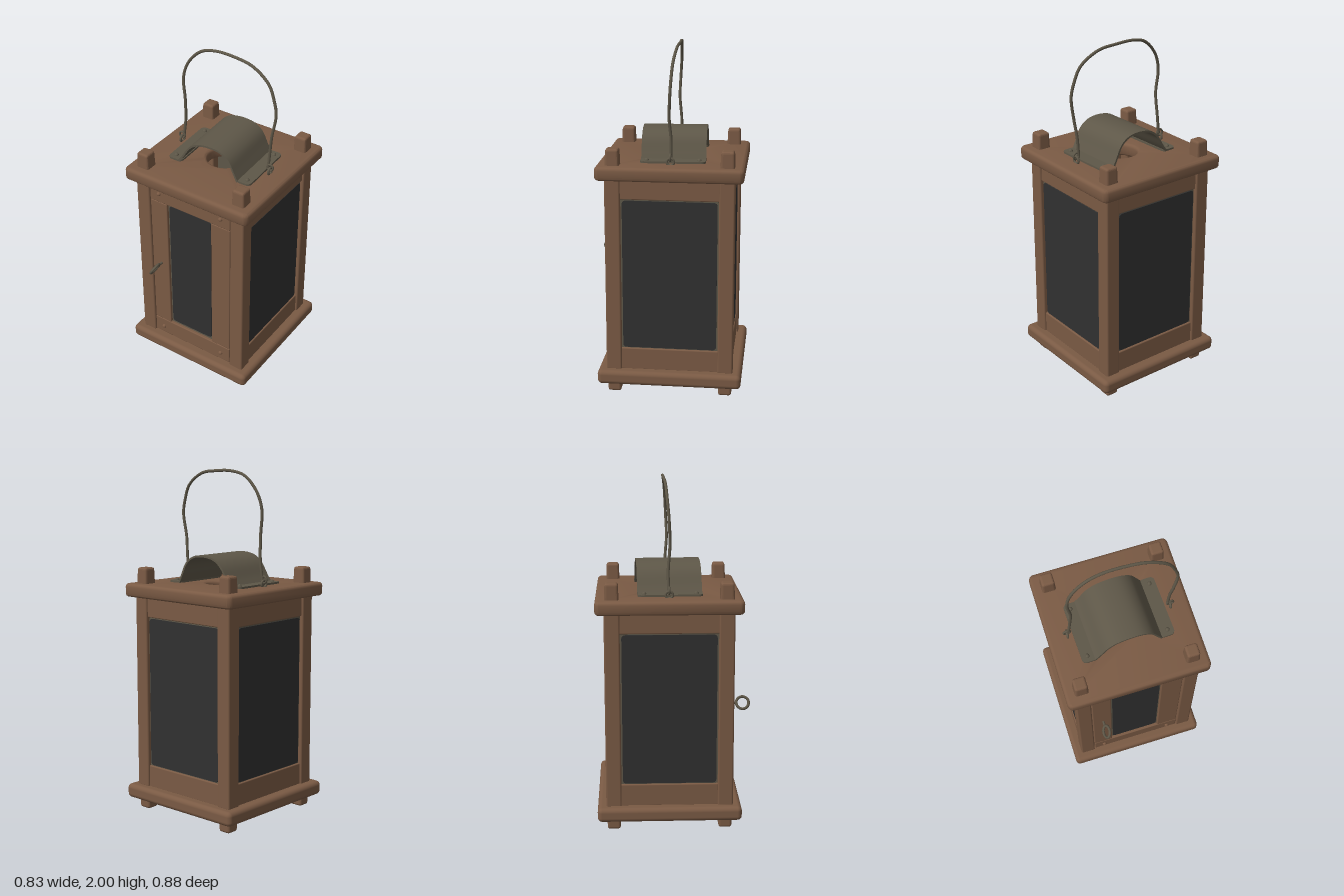
import * as THREE from 'three';
import { toCreasedNormals } from 'three/addons/utils/BufferGeometryUtils.js';
import { RoundedBoxGeometry } from 'three/addons/geometries/RoundedBoxGeometry.js';

const wood = new THREE.MeshStandardMaterial({ name: 'brown wood', color: 0x7a5a44 });
const metal = new THREE.MeshStandardMaterial({ name: 'grey metal', color: 0x5e5748 });
const glass = new THREE.MeshStandardMaterial({ name: 'dark glass', color: 0x303030 });

function add(parent, name, geometry, material, x = 0, y = 0, z = 0) {
  const mesh = new THREE.Mesh(geometry, material);
  mesh.name = name;
  mesh.position.set(x, y, z);
  parent.add(mesh);
  return mesh;
}

const box = (w, h, d, r = 0.006) => new RoundedBoxGeometry(w, h, d, 2, r);

// Rounded rectangle outline centred on the origin
function roundedRect(w, h, r) {
  const s = new THREE.Shape();
  const a = w / 2, b = h / 2;
  s.absarc(a - r, b - r, r, 0, Math.PI / 2);
  s.absarc(-a + r, b - r, r, Math.PI / 2, Math.PI);
  s.absarc(-a + r, -b + r, r, Math.PI, Math.PI * 1.5);
  s.absarc(a - r, -b + r, r, Math.PI * 1.5, Math.PI * 2);
  s.closePath();
  return s;
}

const extrude = (shape, depth) =>
  new THREE.ExtrudeGeometry(shape, { depth, bevelEnabled: false, curveSegments: 6 });

// Glazed wall facing +z: two rails, a thin metal backing and the pane
function panel(parent, name, angle) {
  const g = new THREE.Group();
  g.name = name;
  g.rotation.y = angle;
  add(g, 'topRail', box(0.56, 0.12, 0.03), wood, 0, 1.217, 0.338);
  add(g, 'bottomRail', box(0.56, 0.13, 0.03), wood, 0, 0.208, 0.338);
  add(g, 'paneFrame', new THREE.BoxGeometry(0.56, 0.9, 0.012), metal, 0, 0.715, 0.335);
  add(g, 'pane', extrude(roundedRect(0.535, 0.872, 0.02), 0.006), glass, 0, 0.714, 0.341);
  parent.add(g);
}

// Rivet dome, pointing up +y
const rivet = () => new THREE.SphereGeometry(0.013, 12, 6, 0, Math.PI * 2, 0, Math.PI / 2);

function buildDoor(parent) {
  const door = new THREE.Group();
  door.name = 'door';
  add(door, 'topRail', box(0.545, 0.11, 0.035), wood, 0, 1.213, 0.341);
  add(door, 'bottomRail', box(0.545, 0.108, 0.035), wood, 0, 0.208, 0.341);
  add(door, 'rightStile', box(0.115, 0.896, 0.033), wood, -0.215, 0.71, 0.341);
  add(door, 'leftStile', box(0.128, 0.896, 0.033), wood, 0.2085, 0.71, 0.341);
  add(door, 'paneFrame', new THREE.BoxGeometry(0.33, 0.9, 0.012), metal, -0.005, 0.71, 0.335);
  add(door, 'pane', extrude(roundedRect(0.285, 0.87, 0.02), 0.006), glass, -0.005, 0.714, 0.341);
  for (const x of [-0.21, 0.21])
    for (const y of [0.205, 1.215])
      add(door, 'doorRivet', rivet(), metal === null ? metal : wood, x, y, 0.358).rotation.x = Math.PI / 2;
  // Pull ring on a short pin
  add(door, 'ringPin', new THREE.CylinderGeometry(0.007, 0.007, 0.04, 8), metal, -0.21, 0.712, 0.37)
    .rotation.x = Math.PI / 2;
  const ring = add(door, 'pullRing', new THREE.TorusGeometry(0.036, 0.008, 8, 24), metal, -0.21, 0.712, 0.425);
  ring.rotation.set(0, Math.PI / 2, -0.5, 'ZYX');
  parent.add(door);
}

function buildHood(parent) {
  const hood = new THREE.Group();
  hood.name = 'hood';
  hood.rotation.y = 0.035;
  hood.position.y = 1.35;
  // Bent sheet: the arch outline and the same curve set inwards
  const curve = new THREE.CatmullRomCurve3([
    [-0.205, 0.004], [-0.175, 0.045], [-0.13, 0.115], [-0.08, 0.153], [0, 0.169],
    [0.08, 0.16], [0.135, 0.122], [0.17, 0.055], [0.195, 0.004],
  ].map(([x, y]) => new THREE.Vector3(x, y, 0)));
  const outer = [], inner = [];
  for (let i = 0; i <= 32; i++) {
    const p = curve.getPoint(i / 32), t = curve.getTangent(i / 32);
    outer.push(new THREE.Vector2(p.x, p.y));
    inner.unshift(new THREE.Vector2(p.x + t.y * 0.011, p.y - t.x * 0.011));
  }
  const arch = extrude(new THREE.Shape([...outer, ...inner]), 0.366);
  add(hood, 'hoodArch', toCreasedNormals(arch, 0.6), metal, 0, 0, -0.183);
  for (const s of [-1, 1]) {
    // Riveted flange with rounded outer corners
    const flange = extrude(roundedRect(0.09, 0.366, 0.025), 0.011);
    flange.rotateX(-Math.PI / 2);
    add(hood, 'hoodFlange', flange, metal, s * 0.225, 0, 0);
    for (const z of [-0.147, 0.147]) add(hood, 'hoodRivet', rivet(), metal, s * 0.235, 0.01, z);
  }
  parent.add(hood);
}

function buildHandle(parent) {
  const handle = new THREE.Group();
  handle.name = 'handle';
  const path = new THREE.CatmullRomCurve3([
    [-0.29, 1.39, -0.003], [-0.277, 1.5, -0.005], [-0.27, 1.64, 0.005], [-0.282, 1.78, 0],
    [-0.25, 1.88, -0.008], [-0.17, 1.965, -0.016], [-0.08, 1.991, -0.024], [0.04, 1.991, -0.026],
    [0.16, 1.975, -0.02], [0.27, 1.905, -0.01], [0.31, 1.82, -0.004], [0.328, 1.74, 0],
    [0.308, 1.6, 0.005], [0.295, 1.5, -0.003], [0.286, 1.39, -0.003],
  ].map(p => new THREE.Vector3(...p)));
  add(handle, 'handleWire', new THREE.TubeGeometry(path, 90, 0.0085, 8), metal);
  for (const s of [-1, 1]) {
    const eye = add(handle, 'eyelet', new THREE.TorusGeometry(0.02, 0.007, 8, 16), metal, s * 0.3, 1.366, 0);
    eye.rotation.y = Math.PI / 2;
    add(handle, 'wireLoop', new THREE.TorusGeometry(0.019, 0.006, 8, 16), metal, s * 0.3, 1.39, 0);
  }
  parent.add(handle);
}

export function createModel() {
  const model = new THREE.Group();
  model.name = 'lantern';
  const body = new THREE.Group();
  body.name = 'body';
  body.position.z = -0.027;
  model.add(body);

  // Base board, and a lid board with a smoke hole
  add(body, 'baseBoard', new RoundedBoxGeometry(0.826, 0.083, 0.826, 4, 0.026), wood, 0, 0.106, 0);
  const lid = roundedRect(0.786, 0.786, 0.012);
  const hole = new THREE.Path();
  hole.absarc(0, 0, 0.125, 0, Math.PI * 2, true);
  lid.holes.push(hole);
  const lidGeometry = new THREE.ExtrudeGeometry(lid, {
    depth: 0.038, bevelThickness: 0.02, bevelSize: 0.02, bevelSegments: 4, curveSegments: 16,
  });
  lidGeometry.rotateX(-Math.PI / 2);
  add(body, 'lidBoard', toCreasedNormals(lidGeometry, 0.6), wood, 0, 1.292, 0);

  // Corner posts with pegs through both boards
  for (const x of [-0.32, 0.32])
    for (const z of [-0.32, 0.32]) {
      add(body, 'cornerPost', box(0.088, 1.14, 0.088, 0.01), wood, x, 0.71, z);
      add(body, 'foot', box(0.076, 0.12, 0.076, 0.014), wood, x, 0.063, z);
      const peg = box(0.082, 0.14, 0.082, 0.014);
      const p = peg.attributes.position;
      for (let i = 0; i < p.count; i++)
        if (p.getY(i) > 0) p.setXYZ(i, p.getX(i) * 0.9, p.getY(i), p.getZ(i) * 0.9);
      peg.computeVertexNormals();
      add(body, 'topPeg', peg, wood, x, 1.371, z);
    }

  panel(body, 'leftWall', Math.PI / 2);
  panel(body, 'backWall', Math.PI);
  panel(body, 'rightWall', -Math.PI / 2);
  buildDoor(body);
  buildHood(body);
  buildHandle(body);
  return model;
}
